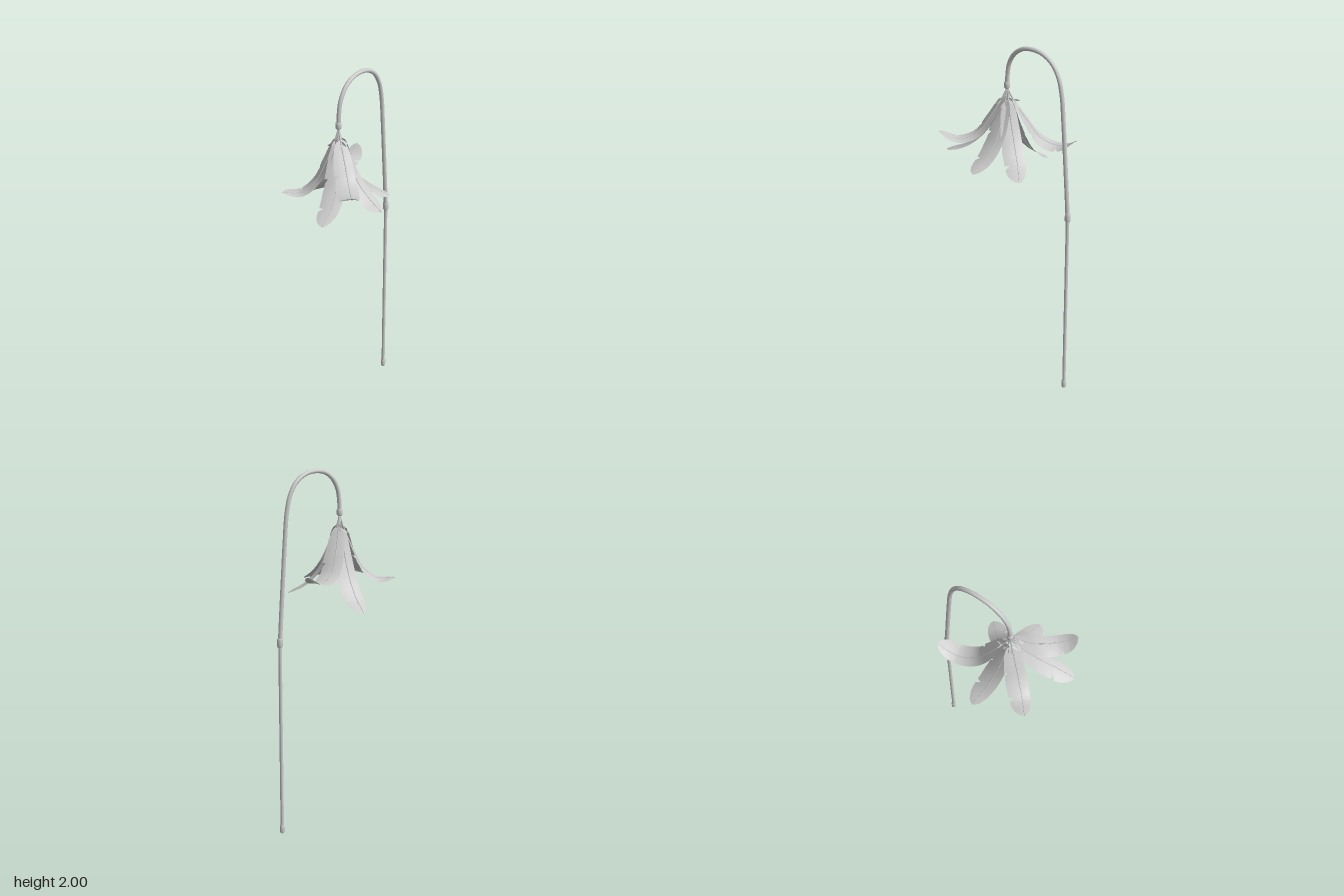
import * as THREE from 'three';

const grey = new THREE.MeshStandardMaterial({ color: 0xcccccc });
const thin = new THREE.MeshStandardMaterial({ color: 0xcccccc, side: THREE.DoubleSide });
const X = -0.012, POLE_Z = -0.359, HANG_Z = 0.059, KNOT_Y = 1.735;
const UP = new THREE.Vector3(0, 1, 0);

function add(parent, name, geometry, material = grey) {
  const mesh = new THREE.Mesh(geometry, material);
  mesh.name = name;
  parent.add(mesh);
  return mesh;
}

// Turned part with a short bevel at both ends
function collar(parent, name, r, y0, y1, z) {
  const b = r * 0.4;
  const pts = [[0, y0], [r - b, y0], [r, y0 + b], [r, y1 - b], [r - b, y1], [0, y1]];
  const mesh = add(parent, name, new THREE.LatheGeometry(pts.map(p => new THREE.Vector2(...p)), 16));
  mesh.position.set(X, 0, z);
}

// Piecewise linear lookup in [position, value] pairs
function lookup(table, s) {
  for (let i = 1; i < table.length; i++) {
    const [a, va] = table[i - 1], [b, vb] = table[i];
    if (s <= b) return va + (vb - va) * Math.max(0, (s - a) / (b - a));
  }
  return table[table.length - 1][1];
}

// Vane half widths along the quill; the right side is torn in two places
const LEFT = [[0.12, 0.004], [0.16, 0.028], [0.25, 0.038], [0.45, 0.044], [0.7, 0.045], [0.85, 0.041], [0.93, 0.031], [0.975, 0.018], [0.99, 0.01], [1, 0]];
const RIGHT = [[0.12, 0.004], [0.16, 0.034], [0.25, 0.05], [0.48, 0.068], [0.485, 0.048], [0.52, 0.064],
  [0.64, 0.071], [0.785, 0.069], [0.79, 0.042], [0.83, 0.067], [0.88, 0.062], [0.93, 0.051], [0.975, 0.031], [0.99, 0.017], [1, 0]];

// Vane as rows of points across the quill, arched slightly to both edges
function vaneGeometry(curve) {
  const even = Array.from({ length: 37 }, (_, i) => 0.12 + 0.88 * i / 36);
  const stations = [...new Set([...RIGHT.map(p => p[0]), ...even])].sort((a, b) => a - b);
  const cols = 8, pos = [], index = [];
  stations.forEach((s, row) => {
    const p = curve.getPointAt(Math.min(s, 1)), t = curve.getTangentAt(Math.min(s, 1));
    const side = new THREE.Vector3().crossVectors(t, UP).normalize();
    const normal = new THREE.Vector3().crossVectors(side, t);
    for (let c = 0; c <= cols; c++) {
      const u = c / cols * 2 - 1;
      const w = u * lookup(u < 0 ? LEFT : RIGHT, s);
      const q = p.clone().addScaledVector(side, w).addScaledVector(normal, -1.8 * w * w);
      pos.push(q.x, q.y, q.z);
      if (row && c) {
        const d = row * (cols + 1) + c, b = d - cols - 1;
        index.push(b - 1, b, d, b - 1, d, d - 1);
      }
    }
  });
  const g = new THREE.BufferGeometry();
  g.setAttribute('position', new THREE.Float32BufferAttribute(pos, 3));
  g.setIndex(index);
  g.computeVertexNormals();
  return g;
}

// Tube that narrows toward its far end
function taperedTube(curve, r0, r1, segments) {
  const g = new THREE.TubeGeometry(curve, segments, 1, 6);
  const p = g.attributes.position, v = new THREE.Vector3();
  for (let i = 0; i < p.count; i++) {
    const s = Math.floor(i / 7) / segments, c = curve.getPointAt(s);
    v.fromBufferAttribute(p, i).sub(c).multiplyScalar(r0 + (r1 - r0) * s).add(c);
    p.setXYZ(i, v.x, v.y, v.z);
  }
  return g;
}

// Small downy barb
const barbShape = new THREE.Shape();
barbShape.moveTo(0, 0);
barbShape.quadraticCurveTo(0.013, 0.018, 0.003, 0.045);
barbShape.quadraticCurveTo(-0.01, 0.02, 0, 0);
const barbGeometry = new THREE.ShapeGeometry(barbShape, 6);

// Profiles: [share of reach, height between tip (0) and knot (1)]
const DROOP = [[0.06, 0.84], [0.2, 0.57], [0.42, 0.3], [0.68, 0.125]];
const CURL = [[0.06, 0.8], [0.26, 0.3], [0.46, -0.08], [0.68, -0.2], [0.85, -0.15]];
const SWEEP = [[0.06, 0.82], [0.22, 0.49], [0.42, 0.16], [0.68, -0.01]];

// Feather from the knot to a tip, bowed a little to its left
function feather(tip, profile, bow) {
  const group = new THREE.Group();
  group.name = 'feather';
  const root = new THREE.Vector3(X, KNOT_Y, HANG_Z);
  const end = new THREE.Vector3(...tip);
  const out = end.clone().sub(root).setY(0).normalize();
  const side = new THREE.Vector3().crossVectors(out, UP);
  const mid = profile.map(([f, h]) => {
    const p = root.clone().lerp(end, f);
    p.y = end.y + (root.y - end.y) * h;
    return p.addScaledVector(side, -bow * Math.sin(Math.PI * f));
  });
  const curve = new THREE.CatmullRomCurve3([root, ...mid, end]);
  add(group, 'vane', vaneGeometry(curve), thin);
  add(group, 'quill', taperedTube(curve, 0.0045, 0.002, 32));
  // Down at the base of the vane, lying close to the quill
  for (const s of [-1, 1]) {
    const at = 0.15 + 0.02 * s;
    const barb = add(group, 'downBarb', barbGeometry, thin);
    barb.position.copy(curve.getPointAt(at));
    const dir = curve.getTangentAt(at).multiplyScalar(0.6).addScaledVector(side, s * 0.6).addScaledVector(out, 0.4).normalize();
    barb.quaternion.setFromUnitVectors(UP, dir);
  }
  return group;
}

export function createModel() {
  const model = new THREE.Group();
  model.name = 'featherWand';

  // Straight pole with its foot cap and joint
  const pole = add(model, 'pole', new THREE.CylinderGeometry(0.0095, 0.0095, 1.08, 16));
  pole.position.set(X, 0.56, POLE_Z);
  collar(model, 'footCap', 0.0135, 0, 0.048, POLE_Z);
  collar(model, 'poleJoint', 0.0155, 1.078, 1.13, POLE_Z);

  // Bent arm: [z, y]
  const armPath = [[-0.359, 1.1], [-0.347, 1.27], [-0.332, 1.47], [-0.318, 1.65], [-0.304, 1.79], [-0.281, 1.88], [-0.238, 1.945],
    [-0.177, 1.98], [-0.112, 1.988], [-0.046, 1.975], [0.009, 1.935], [0.042, 1.88], [0.055, 1.82], [0.059, 1.75]];
  const armCurve = new THREE.CatmullRomCurve3(armPath.map(([z, y]) => new THREE.Vector3(X, y, z)));
  add(model, 'arm', new THREE.TubeGeometry(armCurve, 80, 0.0115, 12));
  collar(model, 'armTip', 0.016, 1.73, 1.77, HANG_Z);

  // Hanging ring of feathers
  const cluster = new THREE.Group();
  cluster.name = 'featherCluster';
  model.add(cluster);
  [
    [[-0.165, 1.475, -0.288], CURL, 0.035],
    [[0.155, 1.31, -0.165], DROOP, 0.015],
    [[0.272, 1.335, 0.055], DROOP, 0.012],
    [[0.265, 1.51, 0.293], CURL, 0.02],
    [[0.13, 1.335, 0.37], DROOP, 0.025],
    [[-0.207, 1.39, 0.288], SWEEP, 0.015],
    [[-0.275, 1.255, 0], DROOP, 0.003],
  ].forEach(args => cluster.add(feather(...args)));
  return model;
}
